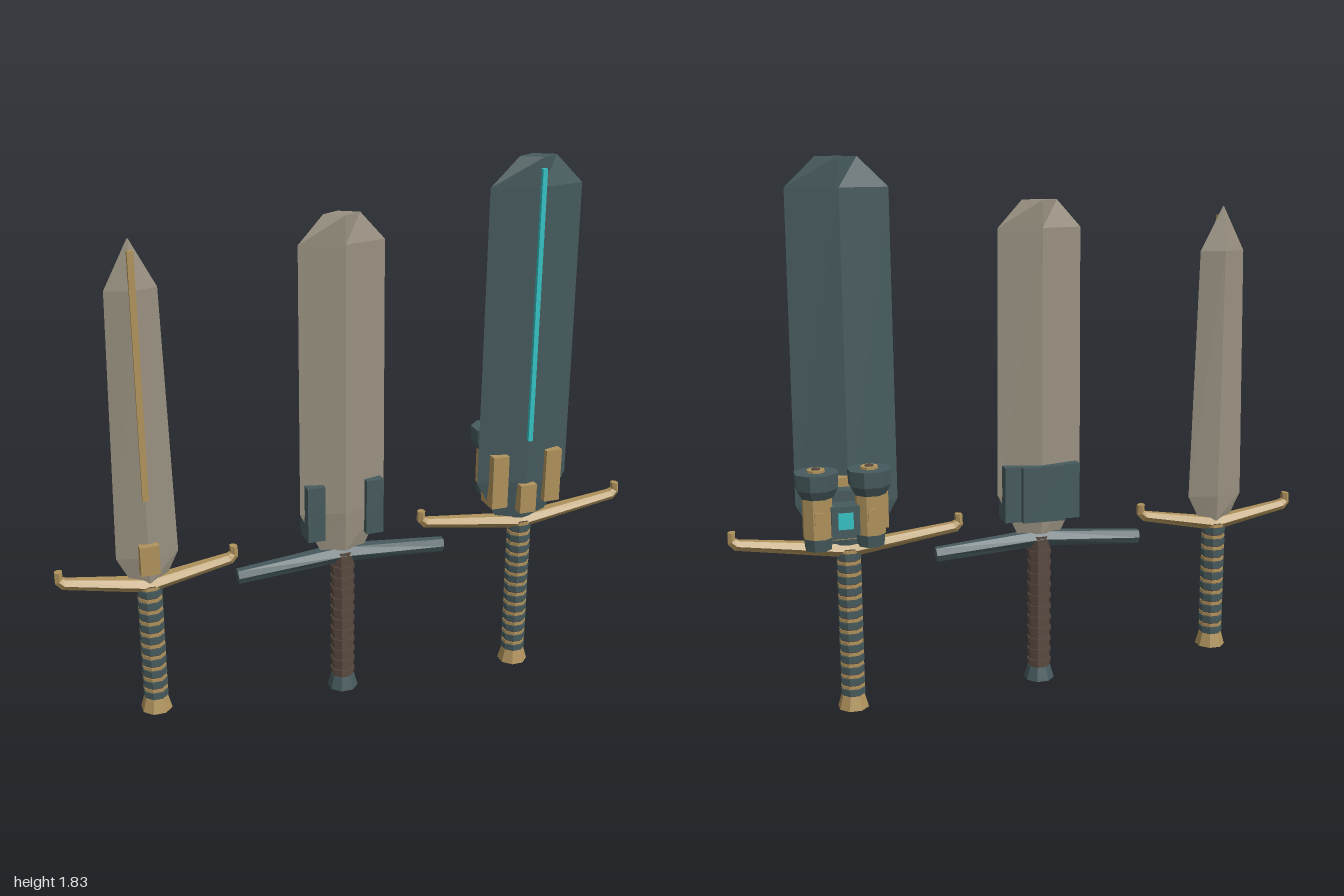
import * as THREE from 'three';

const mat = (name, color) => {
  const m = new THREE.MeshStandardMaterial({ color, flatShading: true });
  m.name = name;
  return m;
};

export function createModel() {
  const teal = mat('dark teal', 0x465a5d);
  const gold = mat('brass', 0xb0935c);
  const steel = mat('warm steel', 0x989080);
  const leather = mat('brown leather', 0x5a4a40);
  const glow = mat('cyan glow', 0x35c2c4);

  const root = new THREE.Group();
  root.name = 'swordTrio';

  const add = (parent, name, geo, material, x = 0, y = 0, z = 0) => {
    const m = new THREE.Mesh(geo, material);
    m.name = name;
    m.position.set(x, y, z);
    parent.add(m);
    return m;
  };
  // box given by its limits on each axis
  const box = (parent, name, material, x0, x1, y0, y1, z0, z1) =>
    add(parent, name, new THREE.BoxGeometry(x1 - x0, y1 - y0, z1 - z0), material,
      (x0 + x1) / 2, (y0 + y1) / 2, (z0 + z1) / 2);
  // upright octagonal prism between two heights, flat side to the front
  const prism = (parent, name, material, rTop, rBottom, y0, y1, x = 0, z = 0) =>
    add(parent, name, new THREE.CylinderGeometry(rTop, rBottom, y1 - y0, 8).rotateY(Math.PI / 8),
      material, x, (y0 + y1) / 2, z);

  // skin over a row of equal rings, with capped ends
  function loft(rings) {
    const pos = [];
    const tri = (a, b, c) => pos.push(...a, ...b, ...c);
    const n = rings[0].length, last = rings[rings.length - 1];
    for (let i = 0; i + 1 < rings.length; i++) {
      for (let j = 0; j < n; j++) {
        const k = (j + 1) % n, p = rings[i], q = rings[i + 1];
        tri(p[j], p[k], q[k]);
        tri(p[j], q[k], q[j]);
      }
    }
    for (let j = 1; j + 1 < n; j++) {
      tri(rings[0][0], rings[0][j + 1], rings[0][j]);
      tri(last[0], last[j], last[j + 1]);
    }
    const g = new THREE.BufferGeometry();
    g.setAttribute('position', new THREE.Float32BufferAttribute(pos, 3));
    g.computeVertexNormals();
    return g;
  }

  // diamond-section blade from [height, half width, half thickness]
  const blade = (parent, material, rows) => add(parent, 'blade',
    loft(rows.map(([y, w, t]) => [[w, y, 0], [0, y, -t], [-w, y, 0], [0, y, t]])), material);

  // two mirrored guard arms from [x, y, half height, half depth, tilt]
  function guard(parent, material, rows) {
    const geo = loft(rows.map(([x, y, r, d, tilt]) => {
      const ring = [];
      for (let i = 0; i < 6; i++) {
        const a = (i + 0.5) * Math.PI / 3, h = Math.cos(a) * r / Math.cos(Math.PI / 6);
        ring.push([x - Math.sin(tilt) * h, y + Math.cos(tilt) * h, Math.sin(a) * d]);
      }
      return ring;
    }));
    add(parent, 'guardLeft', geo, material);
    add(parent, 'guardRight', geo, material).rotation.y = Math.PI;
  }
  const hookedGuard = (parent, y, half) => guard(parent, gold, [
    [0, y, 0.022, 0.036, 0],
    [half - 0.028, y + 0.048, 0.017, 0.022, 0.45],
    [half - 0.012, y + 0.062, 0.014, 0.018, 1.0],
    [half - 0.013, y + 0.092, 0.012, 0.016, 1.5],
  ]);

  // grip with raised bands and a flared pommel
  function handle(parent, y0, y1, pommelMat, banded) {
    const py = y0 + 0.047;
    prism(parent, 'pommel', pommelMat, 0.04, 0.053, y0, py);
    prism(parent, 'grip', leather, 0.038, 0.038, py, y1);
    const count = Math.round((y1 - py) / 0.04), step = (y1 - py) / count;
    for (let i = 0; i < count; i++) {
      const y = py + i * step;
      if (banded) {
        prism(parent, 'gripWrap', teal, 0.042, 0.042, y + 0.003, y + step * 0.62);
        prism(parent, 'gripRing', gold, 0.041, 0.041, y + step * 0.68, y + step * 0.95);
      } else {
        prism(parent, 'gripRib', leather, 0.042, 0.042, y + step * 0.3, y + step * 0.7);
      }
    }
  }

  const sword = (name, x) => {
    const g = new THREE.Group();
    g.name = name;
    g.position.set(x, 0, 0.074);
    root.add(g);
    return g;
  };

  // narrow pointed sword
  const a = sword('pointedSword', -0.705);
  blade(a, steel, [[0.55, 0.055, 0.026], [0.64, 0.1, 0.03], [1.51, 0.08, 0.03], [1.66, 0.002, 0.002]]);
  box(a, 'fuller', gold, -0.01, 0.01, 0.84, 1.63, 0.02, 0.036);
  box(a, 'bladeClip', gold, -0.031, 0.031, 0.59, 0.69, 0.01, 0.05);
  hookedGuard(a, 0.535, 0.295);
  handle(a, 0.075, 0.54, gold, true);

  // broad plain sword
  const b = sword('broadSword', -0.047);
  blade(b, steel, [[0.56, 0.078, 0.03], [0.7, 0.147, 0.038], [1.6, 0.142, 0.038], [1.69, 0.06, 0.037]]);
  for (const s of [-1, 1]) {
    box(b, 'bladeClip', teal, s * 0.102 - 0.03, s * 0.102 + 0.03, 0.613, 0.805, -0.044, 0.04);
  }
  box(b, 'backPlate', teal, -0.075, 0.075, 0.613, 0.805, -0.064, -0.005);
  guard(b, teal, [[0, 0.541, 0.026, 0.036, 0], [0.365, 0.512, 0.023, 0.023, -0.08]]);
  handle(b, 0.025, 0.55, teal, false);

  // large dark sword with a glowing line
  const c = sword('darkSword', 0.613);
  blade(c, teal, [[0.58, 0.09, 0.03], [0.72, 0.168, 0.043], [1.735, 0.163, 0.043], [1.83, 0.065, 0.042]]);
  box(c, 'glowLine', glow, -0.008, 0.008, 0.875, 1.795, 0.038, 0.054);
  for (const s of [-1, 1]) {
    box(c, 'bladeClip', gold, s * 0.1 - 0.029, s * 0.1 + 0.029, 0.635, 0.825, -0.046, 0.044);
  }
  box(c, 'centreClip', gold, -0.03, 0.03, 0.612, 0.715, 0.01, 0.062);
  box(c, 'backPlate', gold, -0.075, 0.075, 0.612, 0.82, -0.066, -0.005);
  hookedGuard(c, 0.557, 0.388);
  handle(c, 0, 0.565, gold, true);

  // twin-tube sight behind the dark sword
  const sight = new THREE.Group();
  sight.name = 'twinSight';
  sight.position.set(0.645, 0, -0.072);
  root.add(sight);
  box(sight, 'mount', teal, -0.095, 0.095, 0.63, 0.79, 0.03, 0.085);
  box(sight, 'bridge', teal, -0.045, 0.045, 0.66, 0.755, -0.036, 0.035);
  box(sight, 'screen', glow, -0.024, 0.024, 0.682, 0.735, -0.041, -0.035);
  for (const s of [-1, 1]) {
    const x = s * 0.084;
    prism(sight, 'eyepiece', teal, 0.047, 0.043, 0.615, 0.655, x);
    prism(sight, 'tube', gold, 0.049, 0.049, 0.655, 0.79, x);
    prism(sight, 'hoodTaper', teal, 0.069, 0.052, 0.785, 0.815, x);
    prism(sight, 'hood', teal, 0.072, 0.069, 0.815, 0.866, x);
    prism(sight, 'lensRing', gold, 0.029, 0.029, 0.86, 0.874, x);
    prism(sight, 'lensCore', leather, 0.015, 0.015, 0.87, 0.877, x);
    box(sight, 'tubeKnob', gold, x - 0.014, x + 0.014, 0.705, 0.745, -0.053, -0.03);
  }
  return root;
}
